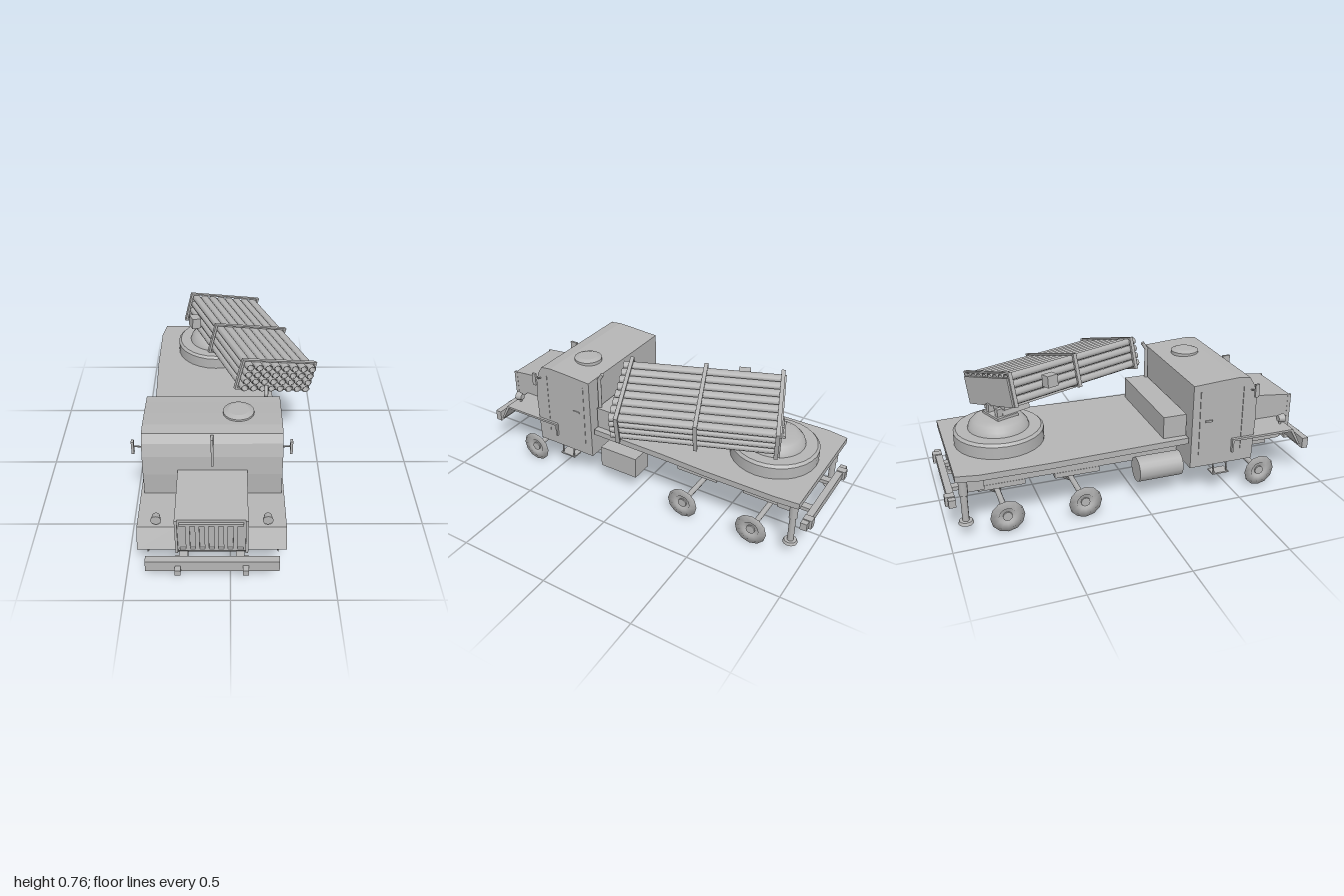
import * as THREE from 'three';

const paint = new THREE.MeshStandardMaterial({ color: 0xb4b4b4 });
paint.name = 'grey';
const CX = -0.085; // truck centreline

export function createModel() {
  const root = new THREE.Group();
  root.name = 'rocketTruck';

  const add = (name, geo, parent = root) => {
    const m = new THREE.Mesh(geo, paint);
    m.name = name;
    parent.add(m);
    return m;
  };
  // box from its limits
  const box = (name, x0, x1, y0, y1, z0, z1, parent = root) => {
    const m = add(name, new THREE.BoxGeometry(x1 - x0, y1 - y0, z1 - z0), parent);
    m.position.set((x0 + x1) / 2, (y0 + y1) / 2, (z0 + z1) / 2);
    return m;
  };
  // round bar between two points
  const bar = (name, a, b, r, parent = root, sides = 8, r2 = r) => {
    const p = new THREE.Vector3(...a), q = new THREE.Vector3(...b);
    const m = add(name, new THREE.CylinderGeometry(r2, r, p.distanceTo(q), sides), parent);
    m.position.copy(p).add(q).multiplyScalar(0.5);
    m.quaternion.setFromUnitVectors(new THREE.Vector3(0, 1, 0), q.sub(p).normalize());
    return m;
  };
  const extrude = (pts, depth) => new THREE.ExtrudeGeometry(
    new THREE.Shape(pts.map(p => new THREE.Vector2(...p))), { depth, bevelEnabled: false });
  // side profile of [z, y] points extruded from x0 to x1
  const profile = (name, pts, x0, x1) =>
    add(name, extrude(pts, x1 - x0).rotateY(-Math.PI / 2).translate(x1, 0, 0));

  // cab and hood
  profile('cab', [[0.245, 0.18], [0.6, 0.18], [0.61, 0.44], [0.603, 0.54], [0.585, 0.605],
    [0.56, 0.645], [0.5, 0.652], [0.4, 0.647], [0.3, 0.64], [0.25, 0.637]], -0.415, 0.247);
  bar('roofHatch', [0.04, 0.64, 0.4], [0.04, 0.66, 0.4], 0.075, root, 20);
  bar('hatchDome', [0.04, 0.66, 0.4], [0.04, 0.67, 0.4], 0.075, root, 20, 0.05);
  box('windshieldPost', CX - 0.006, CX + 0.006, 0.49, 0.645, 0.57, 0.612);
  profile('hood', [[0.58, 0.18], [0.86, 0.18], [0.905, 0.235], [0.91, 0.435], [0.6, 0.467]], -0.25, 0.08);

  // grille
  box('grilleTop', -0.23, 0.06, 0.403, 0.418, 0.905, 0.92);
  box('grilleBottom', -0.23, 0.06, 0.248, 0.26, 0.9, 0.918);
  for (const x of [-0.245, 0.075]) box('grilleSide', x - 0.006, x + 0.006, 0.235, 0.435, 0.9, 0.92);
  for (let i = 0; i < 6; i++) {
    const x = CX + (i - 2.5) * 0.043;
    box('grilleSlat', x - 0.01, x + 0.01, 0.26, 0.405, 0.905, 0.918);
  }

  // front fenders: thin folded sheets
  const sheet = [[0.885, 0.22], [0.835, 0.315], [0.475, 0.315], [0.475, 0.24],
    [0.485, 0.24], [0.485, 0.303], [0.825, 0.303], [0.873, 0.22]];
  profile('rightFender', sheet, -0.432, -0.25);
  profile('leftFender', sheet, 0.08, 0.26);

  // bumpers
  box('frontBumper', -0.39, 0.225, 0.165, 0.225, 0.93, 0.965);
  for (const x of [-0.24, 0.07]) box('towHook', x - 0.013, x + 0.013, 0.17, 0.2, 0.9, 0.997);
  box('rearBumper', -0.37, 0.19, 0.165, 0.205, -0.985, -0.95);
  for (const x of [-0.32, 0.14]) box('rearHook', x - 0.02, x + 0.02, 0.16, 0.21, -0.998, -0.95);

  // frame, cargo bed and its fittings
  for (const s of [-1, 1]) {
    const x = CX + s * 0.13;
    box('frameRail', x - 0.02, x + 0.02, 0.18, 0.32, -0.875, 0.25);
    box('bumperBracket', x - 0.02, x + 0.02, 0.18, 0.22, 0.85, 0.935);
    box('rearBracket', x - 0.02, x + 0.02, 0.18, 0.2, -0.955, -0.87);
  }
  for (const z of [-0.5, -0.1, 0.2]) box('crossMember', CX - 0.13, CX + 0.13, 0.21, 0.27, z - 0.02, z + 0.02);
  const plan = [[-0.406, -0.235], [0.235, -0.235], [0.238, 0.2], [0.247, 0.45], [0.247, 0.82],
    [0.238, 0.95], [-0.41, 0.95], [-0.43, 0.84], [-0.43, 0.5], [-0.416, 0.1]];
  add('bed', extrude(plan, 0.032).rotateX(-Math.PI / 2).translate(0, 0.32, 0));
  box('rearCrate', -0.29, 0.12, 0.19, 0.32, -0.9, -0.8);
  box('bedLocker', -0.37, 0.2, 0.352, 0.47, 0.11, 0.235);
  box('toolbox', 0.09, 0.215, 0.115, 0.235, -0.015, 0.21);
  bar('fuelTank', [-0.325, 0.176, -0.02], [-0.325, 0.176, 0.22], 0.066, root, 18);
  bar('exhaust', [0.18, 0.46, 0.228], [0.18, 0.64, 0.228], 0.01);
  bar('exhaustTip', [0.18, 0.635, 0.23], [0.18, 0.675, 0.205], 0.01);

  // parts mirrored across the centreline
  for (const s of [-1, 1]) {
    const X = d => CX + s * d;
    const side = new THREE.Group();
    side.name = s > 0 ? 'leftSide' : 'rightSide';
    root.add(side);
    // headlight
    bar('headlight', [X(0.258), 0.347, 0.79], [X(0.258), 0.347, 0.825], 0.017, side, 12, 0.025);
    bar('headlightStem', [X(0.258), 0.31, 0.805], [X(0.258), 0.335, 0.805], 0.007, side);
    // mirror
    bar('mirrorArm', [X(0.325), 0.575, 0.57], [X(0.37), 0.588, 0.58], 0.004, side, 6);
    const mx = X(0.37);
    box('mirror', mx - 0.006, mx + 0.006, 0.55, 0.62, 0.57, 0.592, side);
    // door trim
    const dx = X(0.331);
    box('doorHandle', dx - 0.006, dx + 0.006, 0.43, 0.44, 0.32, 0.36, side);
    for (const z of [0.29, 0.53]) box('doorSeam', dx - 0.003, dx + 0.003, 0.25, 0.6, z - 0.002, z + 0.002, side);
    // cab step
    const sx = X(0.295);
    box('step', sx - 0.03, sx + 0.03, 0.112, 0.12, 0.38, 0.475, side);
    for (const z of [0.39, 0.465]) bar('stepStrut', [X(0.318), 0.116, z], [X(0.318), 0.2, z - 0.012], 0.005, side, 6);
    // stabiliser jack
    const jx = X(0.272);
    bar('jackLeg', [jx, 0.075, -0.91], [jx, 0.325, -0.91], 0.017, side, 10);
    bar('jackSleeve', [jx, 0.22, -0.91], [jx, 0.325, -0.91], 0.022, side, 10);
    bar('jackFoot', [jx, 0.065, -0.91], [jx, 0.08, -0.91], 0.038, side, 12, 0.032);
  }

  // axles and wheels
  const dish = [[0.022, -0.014], [0.04, -0.024], [0.086, 0], [0.045, 0.004], [0.04, -0.006], [0.022, -0.004], [0.022, -0.014]];
  const wheelGeo = new THREE.LatheGeometry(dish.map(p => new THREE.Vector2(...p)), 12);
  for (const z of [0.66, -0.32, -0.715]) {
    bar('axle', [CX - 0.31, 0.09, z], [CX + 0.31, 0.09, z], 0.015);
    const ball = add('differential', new THREE.IcosahedronGeometry(0.046, 0));
    ball.position.set(CX, 0.09, z);
    for (const s of [-1, 1]) {
      const w = add('wheel', wheelGeo);
      w.position.set(CX + s * 0.322, 0.088, z);
      w.rotation.z = -s * Math.PI / 2;
      bar('hub', [CX + s * 0.3, 0.088, z], [CX + s * 0.325, 0.088, z], 0.024, root, 10);
      const x = CX + s * 0.13;
      box('leafSpring', x - 0.022, x + 0.022, 0.152, 0.18, z - 0.11, z + 0.13);
    }
  }
  bar('driveShaft', [CX, 0.108, 0.66], [CX, 0.108, -0.715], 0.01);

  // turntable: stepped ring with a dome
  const ring = [[0, 0.35], [0.228, 0.35], [0.228, 0.415], [0.215, 0.428], [0.155, 0.428],
    [0.148, 0.45], [0.128, 0.473], [0.1, 0.487], [0, 0.489]];
  // doubled points keep the main edges crisp
  const crisp = ring.flatMap((p, i) => (i > 0 && i < 5 ? [p, p] : [p])).map(p => new THREE.Vector2(...p));
  add('turntable', new THREE.LatheGeometry(crisp, 28)).position.set(CX, 0, -0.675);

  // launcher, yawed and leaning towards its left
  const launcher = new THREE.Group();
  launcher.name = 'launcher';
  launcher.position.set(0.101, 0.616, -0.325);
  launcher.rotation.set(0, 0.379, -0.267, 'YXZ');
  root.add(launcher);

  // open rocket tubes, eight columns by four rows
  const tube = [[0.015, -0.405], [0.0195, -0.405], [0.0195, 0.415], [0.015, 0.415], [0.015, -0.405]];
  const tubeGeo = new THREE.LatheGeometry(tube.map(p => new THREE.Vector2(...p)), 8).rotateX(Math.PI / 2);
  tubeGeo.scale(1.15, 1, 1);
  for (let c = 0; c < 8; c++)
    for (let r = 0; r < 4; r++)
      add('rocketTube', tubeGeo, launcher).position.set((c - 3.5) * 0.0525, (r - 1.5) * 0.04, 0);

  // three frames binding the tubes
  for (const z of [0.375, -0.01, -0.4]) {
    for (const s of [-1, 1]) {
      box('framePost', s * 0.215 - 0.006, s * 0.215 + 0.006, -0.087, 0.087, z - 0.01, z + 0.01, launcher);
      box('frameBar', -0.221, 0.221, s * 0.083 - 0.004, s * 0.083 + 0.004, z - 0.01, z + 0.01, launcher);
    }
  }
  box('backPlate', -0.212, 0.212, -0.085, 0.06, -0.418, -0.4, launcher);
  box('cradle', -0.1, 0.1, -0.108, -0.085, -0.4, 0.05, launcher);
  for (const s of [-1, 1]) box('cradleArm', s * 0.06 - 0.012, s * 0.06 + 0.012, -0.14, -0.1, -0.4, -0.24, launcher);
  const sight = box('sight', -0.275, -0.225, -0.03, 0.03, -0.235, -0.175, launcher);
  sight.rotation.z = 0.2;

  // pedestal under the launcher
  const pedestal = new THREE.Group();
  pedestal.name = 'pedestal';
  pedestal.position.set(CX, 0, -0.66);
  pedestal.rotation.y = 0.379;
  root.add(pedestal);
  box('pedestalBase', -0.07, 0.07, 0.48, 0.5, -0.06, 0.06, pedestal);
  for (const s of [-1, 1]) box('pedestalCheek', s * 0.04 - 0.012, s * 0.04 + 0.012, 0.49, 0.54, -0.05, 0.05, pedestal);
  return root;
}
